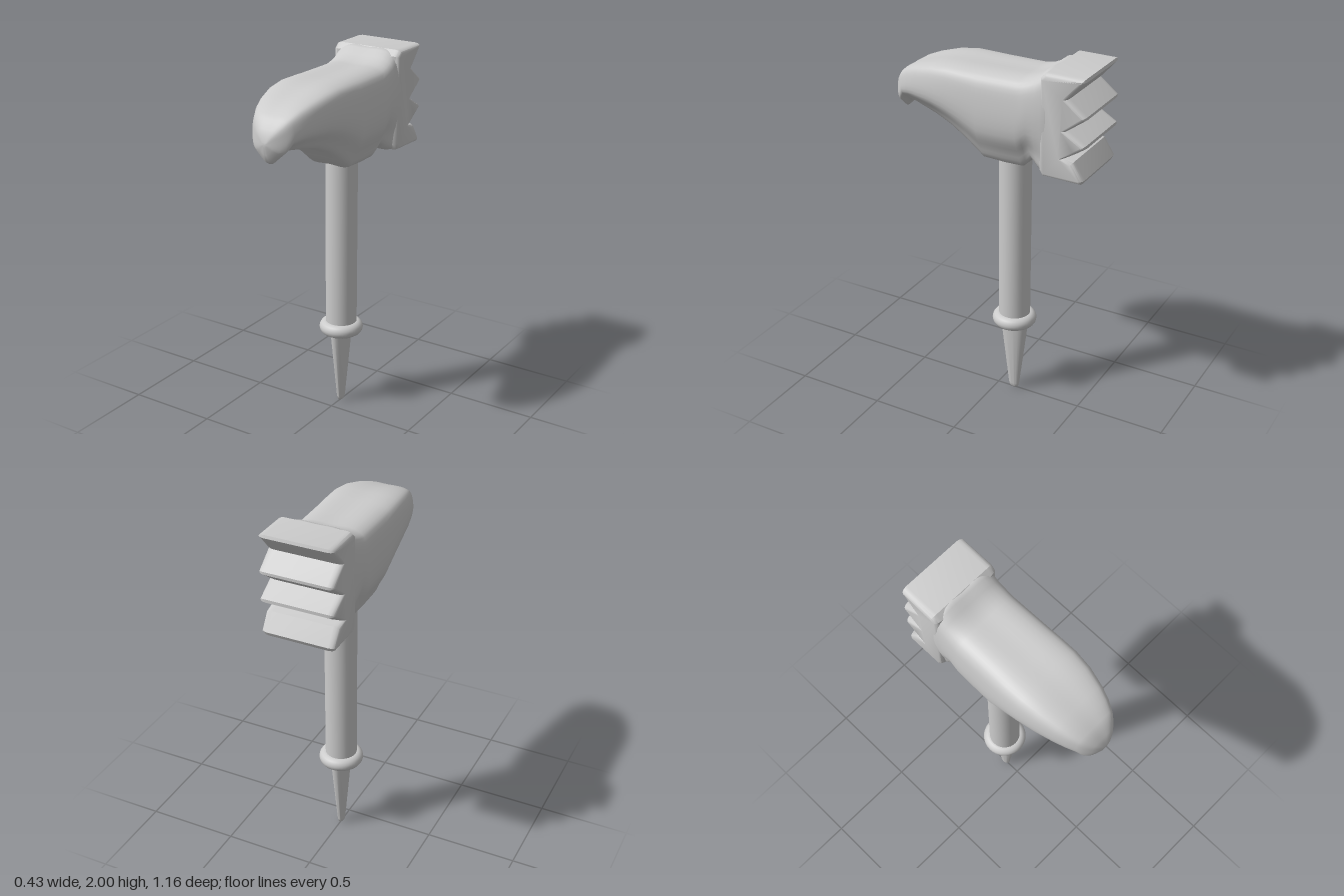
import * as THREE from 'three';
import { toCreasedNormals } from 'three/addons/utils/BufferGeometryUtils.js';

const material = new THREE.MeshStandardMaterial({ color: 0xcccccc });
const SHAFT_Z = -0.1;

function addMesh(group, name, geometry, z = 0) {
  const mesh = new THREE.Mesh(geometry, material);
  mesh.name = name;
  mesh.position.z = z;
  group.add(mesh);
  return mesh;
}

// Head stations from beak to crest: [z, top, bottom, half width, half width of underside]
const stations = [
  [0.588, 1.715, 1.69, 0.015, 0.005],
  [0.58, 1.745, 1.65, 0.04, 0.01],
  [0.565, 1.775, 1.61, 0.07, 0.012],
  [0.545, 1.8, 1.597, 0.094, 0.015],
  [0.53, 1.818, 1.61, 0.108, 0.02],
  [0.51, 1.835, 1.645, 0.122, 0.03],
  [0.46, 1.866, 1.65, 0.147, 0.055],
  [0.4, 1.89, 1.645, 0.168, 0.08],
  [0.3, 1.917, 1.625, 0.193, 0.105],
  [0.2, 1.93, 1.582, 0.205, 0.115],
  [0.1, 1.93, 1.515, 0.208, 0.118],
  [0.02, 1.93, 1.45, 0.208, 0.118],
  [-0.1, 1.93, 1.445, 0.206, 0.118],
  [-0.2, 1.93, 1.447, 0.204, 0.118],
  [-0.23, 1.935, 1.475, 0.203, 0.125],
  [-0.26, 1.943, 1.505, 0.202, 0.13],
  [-0.3, 1.962, 1.48, 0.2, 0.145],
  [-0.335, 1.99, 1.46, 0.199, 0.16],
  [-0.36, 1.997, 1.458, 0.198, 0.17],
  [-0.42, 1.99, 1.465, 0.185, 0.16],
];

// Rounded-top cross-section that tapers below its knee
function crossSection([z, top, bottom, w, wb], count) {
  const h = top - bottom;
  const half = [
    [0.6 * w, top - 0.003 * h],
    [0.88 * w, top - 0.07 * h],
    [w, top - 0.27 * h],
    [w, bottom + 0.38 * h],
    [0.5 * (w + wb), bottom + 0.17 * h],
    [wb, bottom + 0.01 * h],
  ];
  const outline = [[0, top], ...half, [0, bottom], ...half.map(([x, y]) => [-x, y]).reverse()];
  const curve = new THREE.CatmullRomCurve3(
    outline.map(([x, y]) => new THREE.Vector3(x, y, z)), true, 'centripetal');
  return Array.from({ length: count }, (_, i) => curve.getPoint(i / count));
}

function loft(sections) {
  const n = sections[0].length;
  const positions = [];
  const index = [];
  sections.flat().forEach((p) => positions.push(p.x, p.y, p.z));
  for (let s = 0; s < sections.length - 1; s++) {
    for (let i = 0; i < n; i++) {
      const a = s * n + i;
      const b = s * n + (i + 1) % n;
      index.push(a, b, a + n, b, b + n, a + n);
    }
  }
  // End caps
  [0, sections.length - 1].forEach((s) => {
    const c = new THREE.Vector3();
    sections[s].forEach((p) => c.addScaledVector(p, 1 / n));
    const centre = positions.length / 3;
    positions.push(c.x, c.y, c.z);
    for (let i = 0; i < n; i++) {
      const a = s * n + i;
      const b = s * n + (i + 1) % n;
      if (s === 0) index.push(centre, b, a);
      else index.push(centre, a, b);
    }
  });
  const geometry = new THREE.BufferGeometry();
  geometry.setAttribute('position', new THREE.Float32BufferAttribute(positions, 3));
  geometry.setIndex(index);
  geometry.computeVertexNormals();
  return geometry;
}

// Zigzag block of feathers: profile points are [distance behind centre, height]
function crestGeometry() {
  const profile = [
    [0.35, 1.458], [0.56, 1.453], [0.572, 1.475], [0.515, 1.565], [0.465, 1.575],
    [0.525, 1.61], [0.577, 1.645], [0.577, 1.662], [0.475, 1.72],
    [0.577, 1.795], [0.577, 1.81], [0.48, 1.885], [0.5, 1.905],
    [0.57, 1.985], [0.565, 2.0], [0.36, 2.0], [0.33, 1.97], [0.33, 1.49],
  ];
  const shape = new THREE.Shape(profile.map(([x, y]) => new THREE.Vector2(x, y)));
  const bevel = 0.035;
  const depth = 0.4 - 2 * bevel;
  const geometry = new THREE.ExtrudeGeometry(shape, {
    depth, bevelEnabled: true, bevelThickness: bevel,
    bevelSize: 0.018, bevelOffset: -0.018, bevelSegments: 3,
  });
  geometry.translate(0, 0, -depth / 2).rotateY(Math.PI / 2);
  return toCreasedNormals(geometry, 0.7);
}

export function createModel() {
  const group = new THREE.Group();
  group.name = 'birdHeadHammer';

  // Head
  addMesh(group, 'beakedHead', loft(stations.map((s) => crossSection(s, 56))));
  addMesh(group, 'featherCrest', crestGeometry());

  // Handle
  const shaft = new THREE.CylinderGeometry(0.086, 0.086, 1.06, 32).translate(0, 0.99, 0);
  addMesh(group, 'shaft', shaft, SHAFT_Z);
  const ring = new THREE.TorusGeometry(0.083, 0.038, 16, 40).rotateX(Math.PI / 2).translate(0, 0.466, 0);
  addMesh(group, 'collarRing', ring, SHAFT_Z);

  // Flattened spike with a rounded tip
  const spikeProfile = [[0, 0], [0.016, 0.003], [0.026, 0.012], [0.031, 0.03], [0.081, 0.44], [0, 0.44]];
  const spike = toCreasedNormals(
    new THREE.LatheGeometry(spikeProfile.map(([r, y]) => new THREE.Vector2(r, y)), 32), 0.8);
  spike.scale(0.6, 1, 1);
  addMesh(group, 'spike', spike, SHAFT_Z);

  return group;
}
